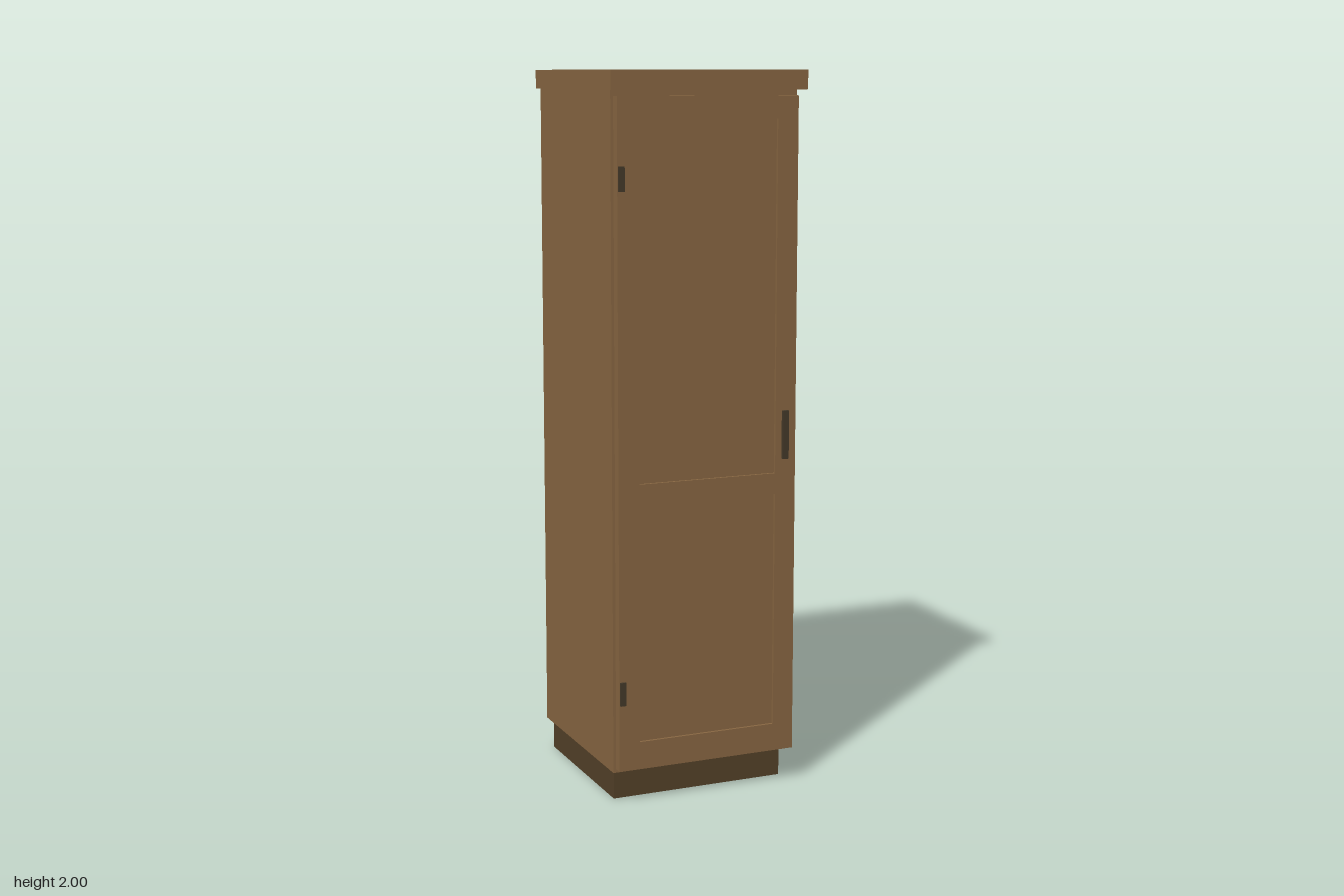
import * as THREE from 'three';

const material = (name, color) => new THREE.MeshStandardMaterial({ name, color });

export function createModel() {
  const wood = material('wood', 0x8a6843);
  const darkWood = material('dark wood', 0x554229);
  const metal = material('dark metal', 0x453a2a);

  const cabinet = new THREE.Group();
  cabinet.name = 'cabinet';

  const add = (name, geometry, mat, parent = cabinet) => {
    const mesh = new THREE.Mesh(geometry, mat);
    mesh.name = name;
    parent.add(mesh);
    return mesh;
  };
  // Box given by its limits on each axis
  const box = (name, mat, [x0, x1], [y0, y1], [z0, z1], parent) => {
    const mesh = add(name, new THREE.BoxGeometry(x1 - x0, y1 - y0, z1 - z0), mat, parent);
    mesh.position.set((x0 + x1) / 2, (y0 + y1) / 2, (z0 + z1) / 2);
    return mesh;
  };
  const rectangle = (Path, x0, x1, y0, y1) =>
    new Path([[x0, y0], [x1, y0], [x1, y1], [x0, y1]].map(([x, y]) => new THREE.Vector2(x, y)));

  // Carcass, flush with the top board at the back
  box('carcass', wood, [-0.272, 0.272], [0.09, 1.948], [-0.286, 0.249]);
  box('topBoard', wood, [-0.286, 0.286], [1.948, 2], [-0.286, 0.286]);

  // Hollow plinth, open underneath
  const plinth = new THREE.Group();
  plinth.name = 'plinth';
  cabinet.add(plinth);
  const t = 0.003;
  for (const side of [-1, 1]) {
    const edges = [side * 0.255, side * (0.255 - t)].sort((a, b) => a - b);
    box(side > 0 ? 'plinthLeft' : 'plinthRight', darkWood, edges, [0, 0.09], [-0.275, 0.208], plinth);
  }
  box('plinthFront', darkWood, [-0.255 + t, 0.255 - t], [0, 0.09], [0.208 - t, 0.208], plinth);
  box('plinthBack', darkWood, [-0.255 + t, 0.255 - t], [0, 0.09], [-0.275, -0.275 + t], plinth);

  // Door frame with two openings and recessed panels behind them
  const door = new THREE.Group();
  door.name = 'door';
  cabinet.add(door);
  const openings = [[0.178, 0.841], [0.9, 1.871]];
  const frame = rectangle(THREE.Shape, -0.264, 0.264, 0.1, 1.932);
  for (const [y0, y1] of openings) frame.holes.push(rectangle(THREE.Path, -0.203, 0.203, y0, y1));
  const frameGeometry = new THREE.ExtrudeGeometry(frame, { depth: 0.026, bevelEnabled: false });
  add('doorFrame', frameGeometry, wood, door).position.z = 0.249;
  openings.forEach(([y0, y1], i) =>
    box(i ? 'upperPanel' : 'lowerPanel', wood, [-0.203, 0.203], [y0, y1], [0.25, 0.267], door));

  // Handle and hinges
  box('handle', metal, [0.222, 0.239], [0.94, 1.075], [0.27, 0.286], door);
  for (const y of [0.321, 1.718])
    box('hinge', metal, [-0.262, -0.245], [y - 0.033, y + 0.033], [0.27, 0.281], door);

  return cabinet;
}
